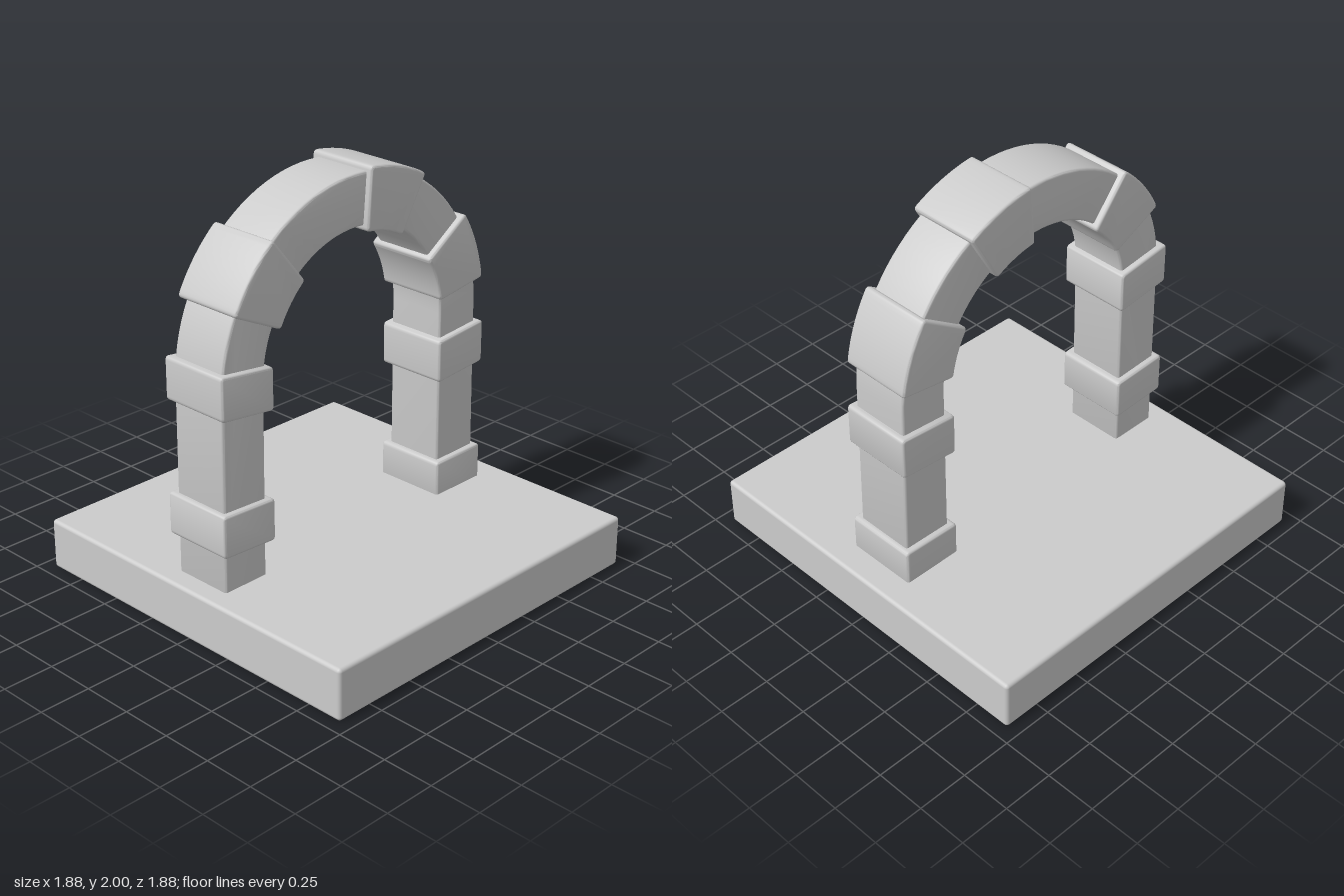
import * as THREE from 'three';
import { RoundedBoxGeometry } from 'three/addons/geometries/RoundedBoxGeometry.js';
import { toCreasedNormals } from 'three/addons/utils/BufferGeometryUtils.js';

const CX = -0.03, CY = 1.17; // centre of the arch
const BEVEL = 0.012;
const CORNER = 0.02;

const V = (x, y) => new THREE.Vector2(x, y);

// Points along an arc around the arch centre, angles in degrees
function arc(radius, from, to, steps) {
  return Array.from({ length: steps + 1 }, (_, i) => {
    const a = THREE.MathUtils.degToRad(from + (to - from) * i / steps);
    return V(CX + radius * Math.cos(a), CY + radius * Math.sin(a));
  });
}

// Replace only the sharp corners of an outline with small curves
function softenCorners(points) {
  return points.flatMap((p, i) => {
    const before = points.at(i - 1).clone().sub(p).normalize();
    const after = points[(i + 1) % points.length].clone().sub(p).normalize();
    if (before.dot(after) < -0.8) return [p];
    const start = p.clone().addScaledVector(before, CORNER);
    const end = p.clone().addScaledVector(after, CORNER);
    return new THREE.QuadraticBezierCurve(start, p, end).getPoints(4);
  });
}

// Outline in the xy plane, extruded symmetrically in z with rounded edges
function stoneGeometry(points, depth) {
  const geometry = new THREE.ExtrudeGeometry(new THREE.Shape(softenCorners(points)), {
    depth: depth - 2 * BEVEL,
    bevelEnabled: true,
    bevelThickness: BEVEL,
    bevelSize: BEVEL,
    bevelOffset: -BEVEL,
    bevelSegments: 3,
  });
  geometry.translate(0, 0, BEVEL - depth / 2);
  return toCreasedNormals(geometry, 0.62);
}

export function createModel() {
  const model = new THREE.Group();
  model.name = 'stoneArch';
  const material = new THREE.MeshStandardMaterial({ color: 0xcccccc });

  function add(name, geometry) {
    const mesh = new THREE.Mesh(geometry, material);
    mesh.name = name;
    model.add(mesh);
    return mesh;
  }

  // Square plinth
  add('base', new RoundedBoxGeometry(1.88, 0.25, 1.88, 3, 0.018)).position.y = 0.125;

  // Continuous inner arch with both legs
  add('archBody', stoneGeometry([
    V(0.785, 0.2), ...arc(0.805, 0, 180, 48), V(-0.84, 0.2),
    V(-0.595, 0.2), ...arc(0.56, 180, 0, 48), V(0.53, 0.2),
  ], 0.3));

  // Wider wedge stones around the curve: start and end angle
  [[8.3, 33.8], [60, 85.5], [129, 154.2]].forEach(([from, to], i) => {
    add('wedgeStone' + (i + 1), stoneGeometry(
      [...arc(0.832, from, to, 10), ...arc(0.536, to, from, 10)], 0.36));
  });

  // Wider leg stones: x range, then bottom and top heights at each side
  [
    ['rightUpperLegStone', -0.86, -0.56, 1.08, 1.287, 1.045, 1.25],
    ['rightLowerLegStone', -0.865, -0.562, 0.435, 0.64, 0.42, 0.625],
    ['leftUpperLegStone', 0.5, 0.805, 0.835, 1.045, 0.86, 1.07],
    ['leftFootStone', 0.503, 0.807, 0.2, 0.418, 0.2, 0.423],
  ].forEach(([name, x0, x1, b0, t0, b1, t1]) => {
    add(name, stoneGeometry([V(x0, b0), V(x1, b1), V(x1, t1), V(x0, t0)], 0.36));
  });

  return model;
}
